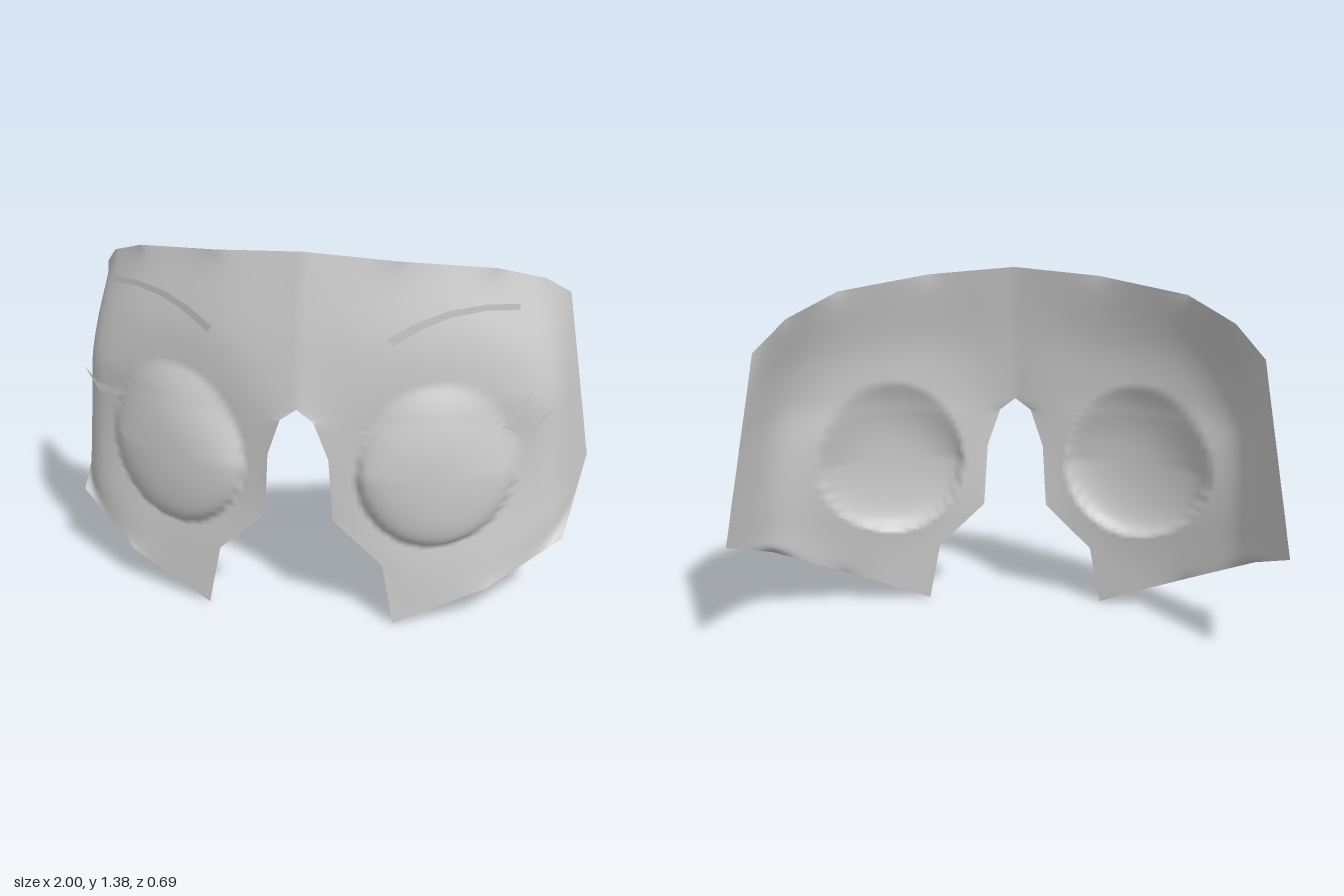
import * as THREE from 'three';
import { mergeGeometries, mergeVertices } from 'three/addons/utils/BufferGeometryUtils.js';

const material = new THREE.MeshStandardMaterial({ color: 0xcccccc, side: THREE.DoubleSide });

// Cross-sections of one half, top to bottom, each running from the nose to the temple
const SECTIONS = [
  [[0, 1.38, 0.24], [0.32, 1.355, 0.2], [0.64, 1.31, 0.06], [0.8, 1.235, -0.1], [0.89, 1.14, -0.25]],
  [[0, 1.1, 0.3], [0.28, 1.09, 0.285], [0.68, 1.07, 0.14], [0.86, 1.02, 0], [0.915, 0.98, -0.273]],
  [[0, 0.845, 0.345], [0.25, 0.87, 0.3], [0.68, 0.87, 0.16], [0.89, 0.85, 0.06], [0.941, 0.82, -0.296]],
  [[0.06, 0.8, 0.345], [0.27, 0.76, 0.285], [0.69, 0.73, 0.135], [0.9, 0.71, 0.06], [0.958, 0.71, -0.312]],
  [[0.11, 0.655, 0.33], [0.28, 0.63, 0.28], [0.69, 0.59, 0.14], [0.91, 0.58, 0.06], [0.973, 0.62, -0.325]],
  [[0.125, 0.41, 0.32], [0.28, 0.42, 0.29], [0.7, 0.43, 0.16], [0.92, 0.45, 0.06], [0.985, 0.54, -0.337]],
  [[0.305, 0.235, 0.3], [0.39, 0.24, 0.285], [0.7, 0.28, 0.19], [0.93, 0.36, 0.06], [0.993, 0.49, -0.344]],
  [[0.35, 0, 0.31], [0.5, 0.065, 0.27], [0.68, 0.14, 0.22], [0.935, 0.285, 0.05], [1, 0.45, -0.35]],
].map((row) => row.map((p) => new THREE.Vector3(...p)));

const STEP = 12;
const ROWS = (SECTIONS.length - 1) * STEP;
const COLS = (SECTIONS[0].length - 1) * STEP;

// Height of the rounded eye: firm lower rim, soft fade towards the brow
function eyeBulge(x, y) {
  const upper = y > 0.6;
  const dx = (x - 0.48) / 0.27;
  const dy = (y - 0.6) / (upper ? 0.33 : 0.285);
  const k = Math.max(0, 1 - dx * dx - dy * dy);
  const soft = upper ? Math.min(1, (y - 0.6) / 0.2) : 0;
  return 0.09 * Math.pow(k, 0.5 + 0.6 * soft);
}

// Subdivided half surface: straight outline, relaxed interior, raised eye
function facePoints() {
  let grid = [];
  for (let r = 0; r <= ROWS; r++) {
    const i = Math.min(Math.floor(r / STEP), SECTIONS.length - 2);
    const line = [];
    for (let c = 0; c <= COLS; c++) {
      const j = Math.min(Math.floor(c / STEP), SECTIONS[0].length - 2);
      const t = c / STEP - j;
      const a = SECTIONS[i][j].clone().lerp(SECTIONS[i][j + 1], t);
      const b = SECTIONS[i + 1][j].clone().lerp(SECTIONS[i + 1][j + 1], t);
      line.push(a.lerp(b, r / STEP - i));
    }
    grid.push(line);
  }
  for (let n = 0; n < 30; n++) {
    const old = grid;
    grid = old.map((line, r) => line.map((p, c) => {
      if (r === 0 || c === 0 || r === ROWS || c === COLS) return p;
      return new THREE.Vector3().add(old[r - 1][c]).add(old[r + 1][c])
        .add(line[c - 1]).add(line[c + 1]).multiplyScalar(0.25);
    }));
  }
  return grid.flat().map((p) => new THREE.Vector3(p.x, p.y, p.z + eyeBulge(p.x, p.y)));
}

function halfFace(points, side) {
  const index = [];
  const w = COLS + 1;
  for (let r = 0; r < ROWS; r++) {
    for (let c = 0; c < COLS; c++) {
      const a = r * w + c, b = a + 1, d = a + w, e = d + 1;
      if (side > 0) index.push(a, d, b, b, d, e);
      else index.push(a, b, d, b, e, d);
    }
  }
  const geometry = new THREE.BufferGeometry().setFromPoints(
    points.map((p) => new THREE.Vector3(p.x * side, p.y, p.z)));
  geometry.setIndex(index);
  return geometry;
}

// Thin flat cut-out whose depth slants back with x
function slantedPatch(name, outline, z0, slope, x0) {
  const shape = new THREE.Shape(outline.map(([x, y]) => new THREE.Vector2(x, y)));
  const geometry = new THREE.ShapeGeometry(shape);
  const pos = geometry.attributes.position;
  for (let i = 0; i < pos.count; i++) pos.setZ(i, z0 - (pos.getX(i) - x0) * slope);
  geometry.computeVertexNormals();
  const mesh = new THREE.Mesh(geometry, material);
  mesh.name = name;
  return mesh;
}

// Eyebrow and two pointed lashes for one side
function eyeDetails(side) {
  const group = new THREE.Group();
  group.name = side > 0 ? 'leftEyeDetails' : 'rightEyeDetails';
  group.add(
    slantedPatch('eyebrow', [
      [0.305, 1.115], [0.4, 1.168], [0.5, 1.203], [0.62, 1.217], [0.73, 1.212],
      [0.73, 1.19], [0.62, 1.195], [0.51, 1.18], [0.42, 1.145], [0.325, 1.09],
    ], 0.312, 0.43, 0.305),
    slantedPatch('upperLash', [
      [0.71, 0.775], [0.775, 0.825], [0.785, 0.885], [0.745, 0.83], [0.7, 0.803],
    ], 0.165, 0.5, 0.7),
    slantedPatch('lowerLash', [
      [0.69, 0.765], [0.74, 0.745], [0.815, 0.75], [0.872, 0.835], [0.82, 0.785], [0.72, 0.778],
    ], 0.165, 0.35, 0.69),
  );
  group.scale.x = side;
  return group;
}

export function createModel() {
  const model = new THREE.Group();
  model.name = 'upperFaceMask';

  const points = facePoints();
  const skin = mergeVertices(mergeGeometries([halfFace(points, 1), halfFace(points, -1)]), 1e-4);
  skin.computeVertexNormals();
  const face = new THREE.Mesh(skin, material);
  face.name = 'facePlate';
  model.add(face);

  for (const side of [1, -1]) model.add(eyeDetails(side));
  return model;
}
